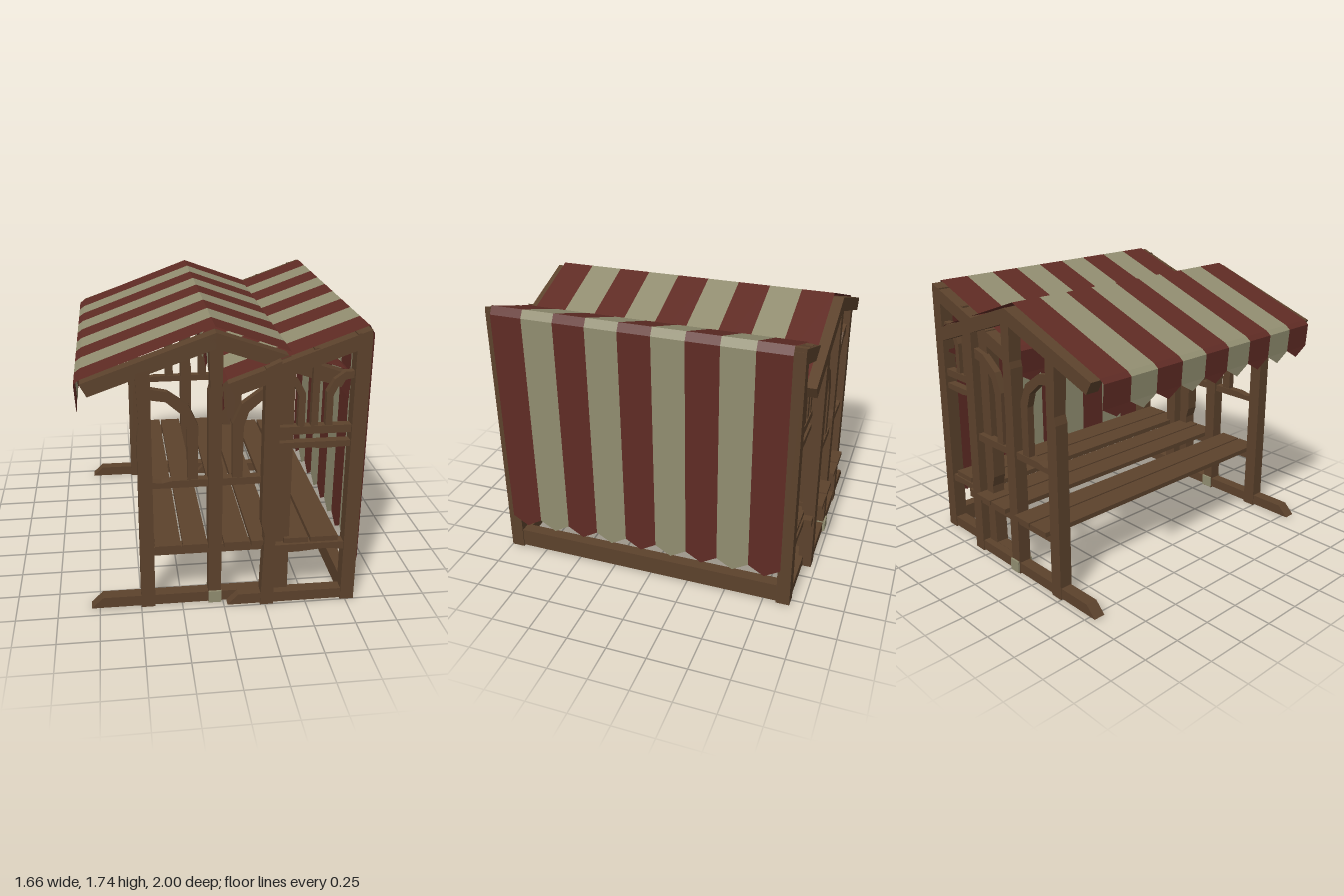
import * as THREE from 'three';

const mat = (name, hex, side = THREE.FrontSide) => {
  const m = new THREE.MeshStandardMaterial({ color: hex, side });
  m.name = name;
  return m;
};

export function createModel() {
  const wood = mat('brown wood', 0x5c422c);
  const red = mat('red cloth', 0x5f2b24, THREE.DoubleSide);
  const cream = mat('cream cloth', 0x918d70, THREE.DoubleSide);
  const root = new THREE.Group();
  root.name = 'marketStall';

  const add = (parent, name, geo, material) => {
    const mesh = new THREE.Mesh(geo, material);
    mesh.name = name;
    parent.add(mesh);
  };
  // Timber cut from an outline in the xy plane, between z0 and z1
  const timber = (parent, name, pts, z0, z1, material = wood) => {
    const shape = new THREE.Shape(pts.map(([x, y]) => new THREE.Vector2(x, y)));
    const geo = new THREE.ExtrudeGeometry(shape, { depth: z1 - z0, bevelEnabled: false });
    geo.translate(0, 0, z0);
    add(parent, name, geo, material);
  };
  const rect = (x0, x1, y0, y1) => [[x0, y0], [x1, y0], [x1, y1], [x0, y1]];
  const mirror = (pts, cx) => pts.map(([x, y]) => [2 * cx - x, y]);

  // Gabled main frame
  const mainBrace = [[-0.42, 1.4], [-0.32, 1.378], [-0.2, 1.29], [-0.148, 1.17], [-0.15, 0.83],
    [-0.21, 0.83], [-0.212, 1.15], [-0.24, 1.24], [-0.33, 1.32], [-0.42, 1.335]];
  const mainFrame = (name, z0, z1) => {
    const g = new THREE.Group();
    g.name = name;
    root.add(g);
    timber(g, 'leftPost', [[-0.5, 0], [-0.415, 0], [-0.415, 1.52], [-0.497, 1.5], [-0.483, 1.17], [-0.497, 1.12]], z0, z1);
    timber(g, 'centrePost', [[-0.09, 0], [-0.015, 0], [-0.008, 0.9], [-0.017, 0.96], [-0.01, 1.68], [-0.09, 1.68],
      [-0.082, 1.4], [-0.092, 1.36], [-0.092, 0.5]], z0, z1);
    timber(g, 'rightPost', rect(0.31, 0.395, 0, 1.52), z0, z1);
    timber(g, 'gableRafters', [[-0.8, 1.45], [-0.05, 1.715], [0.7, 1.45], [0.66, 1.375], [-0.05, 1.625], [-0.76, 1.375]], z0, z1);
    timber(g, 'baseBeam', [[-0.8, 0.01], [0.39, 0.01], [0.39, 0.075], [-0.73, 0.078]], z0 + 0.005, z1 - 0.005);
    timber(g, 'middleRail', [[-0.42, 0.79], [0.33, 0.79], [0.33, 0.835], [-0.3, 0.835], [-0.36, 0.822], [-0.42, 0.83]], z0 + 0.015, z1 - 0.015);
    timber(g, 'shelfRail', rect(-0.42, 0.45, 0.35, 0.402), z0 + 0.01, z1 - 0.01);
    timber(g, 'leftBrace', mainBrace, z0 + 0.02, z1 - 0.02);
    timber(g, 'rightBrace', mirror(mainBrace, -0.05), z0 + 0.02, z1 - 0.02);
    timber(g, 'footing', rect(-0.09, -0.012, 0.008, 0.085), z0 - 0.012, z1 + 0.012, cream);
  };
  mainFrame('frontMainFrame', 0.86, 0.945);
  mainFrame('backMainFrame', -0.97, -0.885);

  // Lean-to side frame
  const sideBrace = [[0.3, 1.48], [0.35, 1.478], [0.41, 1.435], [0.45, 1.36], [0.45, 1.15],
    [0.41, 1.15], [0.412, 1.34], [0.385, 1.4], [0.345, 1.432], [0.3, 1.44]];
  const sideFrame = (name, z0, z1) => {
    const g = new THREE.Group();
    g.name = name;
    root.add(g);
    timber(g, 'innerPost', [[0.22, 0], [0.3, 0], [0.305, 1.56], [0.217, 1.52], [0.217, 0.55], [0.237, 0.48]], z0, z1);
    timber(g, 'cornerPost', rect(0.72, 0.803, 0, 1.7), z0, z1);
    timber(g, 'sideRafter', [[0.01, 1.44], [0.8, 1.72], [0.8, 1.63], [0.05, 1.365]], z0, z1);
    timber(g, 'sideBaseBeam', [[0.02, 0.01], [0.75, 0.01], [0.75, 0.075], [0.085, 0.078]], z0 + 0.005, z1 - 0.005);
    timber(g, 'upperRail', rect(0.3, 0.73, 1.115, 1.162), z0 + 0.015, z1 - 0.015);
    timber(g, 'lowerRail', [[0.3, 1.03], [0.5, 1.03], [0.55, 1.023], [0.73, 1.03], [0.73, 1.065], [0.3, 1.065]], z0 + 0.015, z1 - 0.015);
    timber(g, 'sideShelfRail', [[0.3, 0.35], [0.45, 0.352], [0.6, 0.365], [0.73, 0.352], [0.73, 0.402], [0.3, 0.402]], z0 + 0.01, z1 - 0.01);
    timber(g, 'middleBar', rect(0.487, 0.527, 1.15, 1.62), z0 + 0.02, z1 - 0.02);
    timber(g, 'innerBrace', sideBrace, z0 + 0.02, z1 - 0.02);
    timber(g, 'outerBrace', mirror(sideBrace, 0.51), z0 + 0.02, z1 - 0.02);
  };
  sideFrame('frontSideFrame', 0.915, 1.0);
  sideFrame('backSideFrame', -0.92, -0.835);

  // Long shelf planks and the ground beam that joins the side frames
  for (const [x0, x1] of [[-0.41, -0.257], [-0.245, -0.1], [0, 0.15], [0.163, 0.31]])
    timber(root, 'shelfPlank', rect(x0, x1, 0.4, 0.43), -1.0, 0.97);
  for (const [x0, x1] of [[0.36, 0.508], [0.522, 0.69]])
    timber(root, 'sideShelfPlank', rect(x0, x1, 0.402, 0.434), -0.9, 0.97);
  timber(root, 'groundBeam', rect(0.725, 0.797, 0.01, 0.13), -0.84, 0.92);

  // Striped cloth: a profile swept along z, with pointed hems at both ends
  const awning = (name, profile, z0, z1, stripes = 9, hem = 0.06) => {
    const g = new THREE.Group();
    g.name = name;
    root.add(g);
    const sets = [[], []];
    const w = (z1 - z0) / stripes;
    for (let i = 0; i < stripes; i++) {
      const out = sets[i % 2];
      const a = z0 + i * w, b = a + w, mid = a + w / 2;
      for (let k = 0; k < profile.length - 1; k++) {
        const [x, y] = profile[k], [u, v] = profile[k + 1];
        out.push(x, y, a, x, y, b, u, v, b, x, y, a, u, v, b, u, v, a);
      }
      const [sx, sy] = profile[0], [ex, ey] = profile[profile.length - 1];
      out.push(sx, sy, a, sx, sy - hem, mid, sx, sy, b);
      out.push(ex, ey, b, ex, ey - hem, mid, ex, ey, a);
    }
    sets.forEach((pos, i) => {
      const geo = new THREE.BufferGeometry();
      geo.setAttribute('position', new THREE.Float32BufferAttribute(pos, 3));
      geo.computeVertexNormals();
      add(g, i ? 'creamStripes' : 'redStripes', geo, i ? cream : red);
    });
  };
  awning('mainAwning', [[-0.823, 1.29], [-0.832, 1.435], [-0.8, 1.46], [-0.05, 1.737],
    [0.695, 1.465], [0.727, 1.44], [0.72, 1.29]], -0.91, 0.9);
  awning('sideAwning', [[-0.005, 1.28], [-0.015, 1.425], [0.015, 1.45], [0.797, 1.732],
    [0.827, 1.685], [0.822, 0.26]], -0.855, 0.955);

  return root;
}
